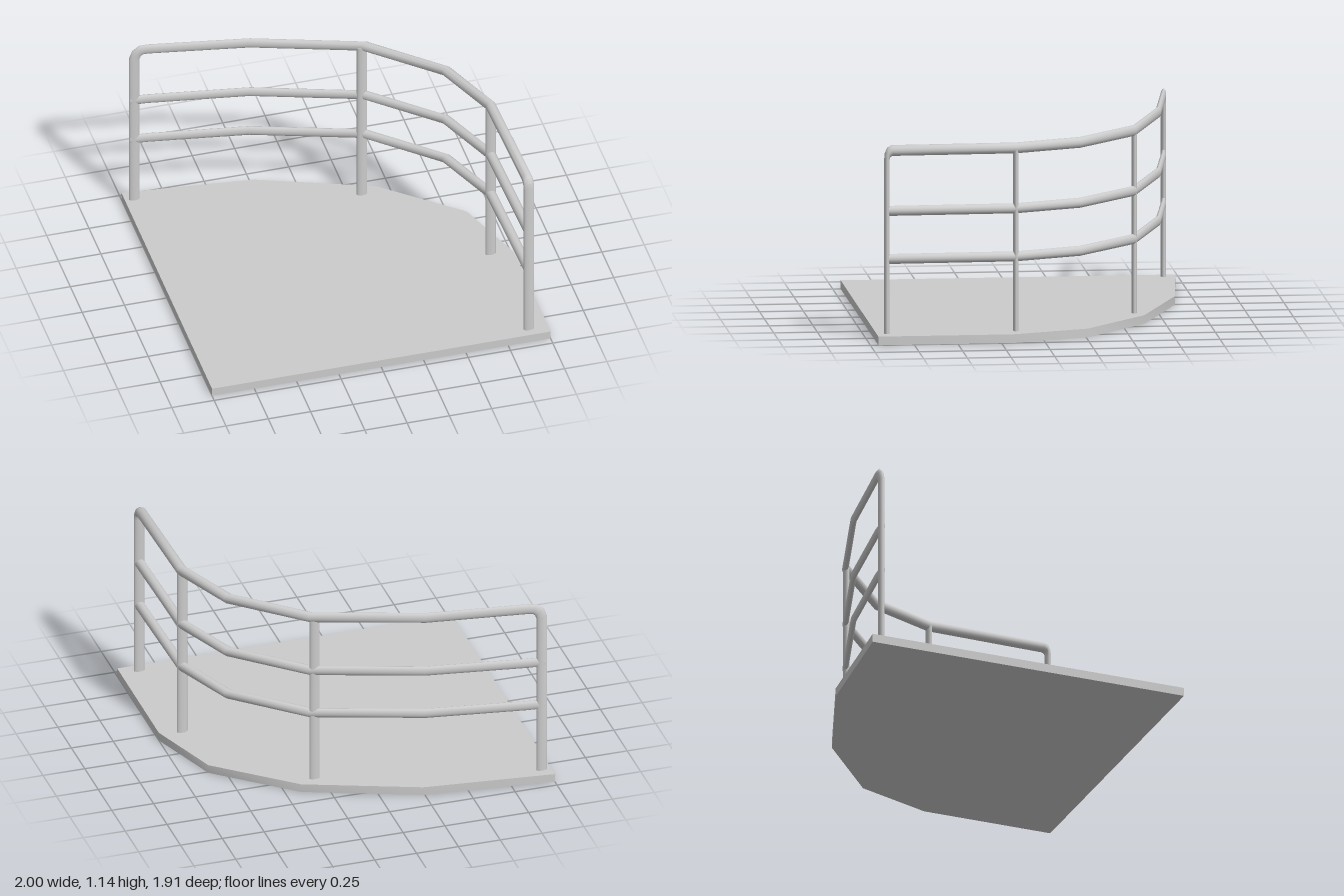
import * as THREE from 'three';
import { toCreasedNormals } from 'three/addons/utils/BufferGeometryUtils.js';

const FLATTEN = 0.5; // the tubes are oval: half as deep in z as in x
const SIDES = 16;
const material = new THREE.MeshStandardMaterial({ color: 0xcccccc, roughness: 0.7 });

// Round tube along a polyline with mitred joints and capped ends
function mitredTube(points, radius) {
  const path = points.map(([x, y, z]) => new THREE.Vector3(x, y, z / FLATTEN));
  const dirs = path.slice(1).map((p, i) => p.clone().sub(path[i]).normalize());
  const helper = Math.abs(dirs[0].y) > 0.9 ? new THREE.Vector3(1, 0, 0) : new THREE.Vector3(0, 1, 0);
  const u = helper.clone().addScaledVector(dirs[0], -helper.dot(dirs[0])).normalize();
  const v = dirs[0].clone().cross(u);
  let ring = [];
  for (let j = 0; j < SIDES; j++) {
    const a = (j / SIDES) * Math.PI * 2;
    ring.push(path[0].clone().addScaledVector(u, radius * Math.cos(a)).addScaledVector(v, radius * Math.sin(a)));
  }
  const verts = ring.map((p) => p.toArray());
  for (let i = 1; i < path.length; i++) {
    // slide the ring along the segment onto the mitre plane of the next joint
    const d = dirs[i - 1];
    const n = d.clone().add(dirs[i] || d).normalize();
    ring = ring.map((p) => p.clone().addScaledVector(d, path[i].clone().sub(p).dot(n) / d.dot(n)));
    verts.push(...ring.map((p) => p.toArray()));
  }
  const last = (path.length - 1) * SIDES;
  const start = verts.push(path[0].toArray()) - 1;
  const end = verts.push(path[path.length - 1].toArray()) - 1;
  const index = [];
  for (let j = 0; j < SIDES; j++) {
    const k = (j + 1) % SIDES;
    for (let r = 0; r < last; r += SIDES) {
      index.push(r + j, r + k, r + SIDES + k, r + j, r + SIDES + k, r + SIDES + j);
    }
    index.push(start, k, j, end, last + j, last + k);
  }
  const geometry = new THREE.BufferGeometry();
  geometry.setAttribute('position', new THREE.Float32BufferAttribute(verts.flat(), 3));
  geometry.setIndex(index);
  return toCreasedNormals(geometry, 0.65);
}

export function createModel() {
  const group = new THREE.Group();
  const add = (name, geometry, flatten) => {
    const mesh = new THREE.Mesh(geometry, material);
    mesh.name = name;
    if (flatten) mesh.scale.z = FLATTEN;
    group.add(mesh);
  };

  // Quarter-round floor slab, drawn as x and -z
  const outline = [[-1, -0.955], [1, -0.955], [1, 0.18], [0.845, 0.26], [0.41, 0.63], [-0.24, 0.875], [-1, 0.96]];
  outline[2][1] = -0.18;
  const shape = new THREE.Shape(outline.map(([x, y]) => new THREE.Vector2(x, y)));
  const slab = new THREE.ExtrudeGeometry(shape, { depth: 0.05, bevelEnabled: false });
  slab.rotateX(-Math.PI / 2);
  add('floorSlab', toCreasedNormals(slab, 0.6), false);

  // Plan of the rails between the two end posts
  const bends = [[-0.29, -0.785], [0.33, -0.58], [0.715, -0.23], [0.87, 0.155]];

  // Handrail, curving down at both ends into the end posts
  add('handrailWithEndPosts', mitredTube([
    [-0.945, 0.04, -0.885], [-0.945, 1.05, -0.885], [-0.932, 1.085, -0.884],
    [-0.905, 1.106, -0.882], [-0.87, 1.11, -0.878],
    ...bends.map(([x, z]) => [x, 1.103, z]),
    [0.886, 1.103, 0.865], [0.887, 1.094, 0.883], [0.888, 1.075, 0.892],
    [0.888, 1.045, 0.895], [0.888, 0.04, 0.895],
  ], 0.031), true);

  // Two lower rails
  [['lowerRail', 0.478], ['middleRail', 0.755]].forEach(([name, y]) => {
    add(name, mitredTube([
      [-0.965, y, -0.886], [-0.87, y, -0.878],
      ...bends.map(([x, z]) => [x, y, z]),
      [0.886, y, 0.9],
    ], 0.029), true);
  });

  // Two intermediate posts under the handrail
  [['backPost', 0.315, -0.582], ['sidePost', 0.869, 0.155]].forEach(([name, x, z]) => {
    add(name, mitredTube([[x, 0.04, z], [x, 1.1, z]], 0.031), true);
  });

  return group;
}
